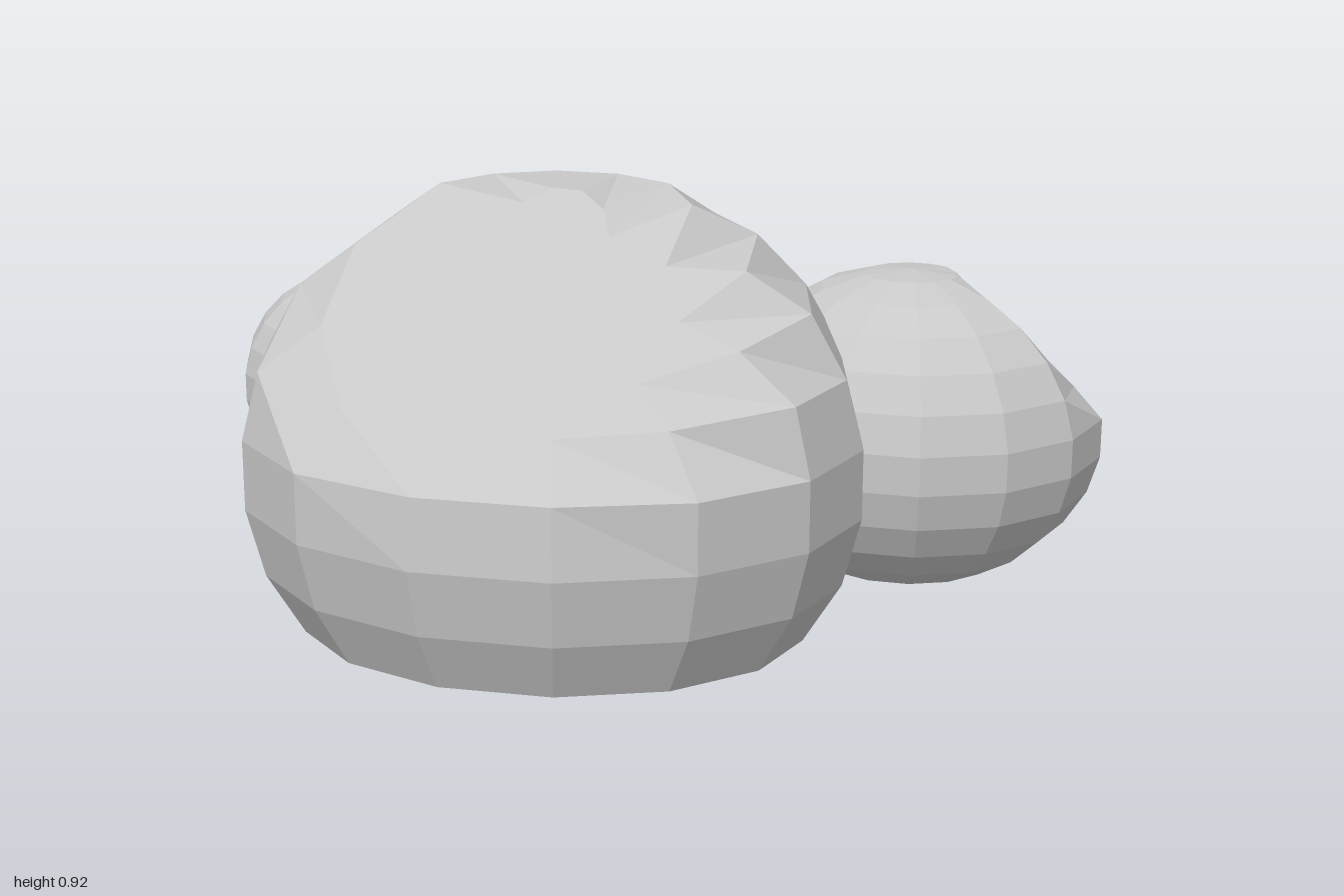
import * as THREE from 'three';

const stone = new THREE.MeshStandardMaterial({ color: 0xc8c8c8, flatShading: true });
stone.name = 'grey stone';

// A faceted ellipsoid with its own depth at front and back, turned a little.
// Vertices outside a cutting plane are drawn in toward the centre until they lie on it.
// Each cut is [nx, ny, nz, distance from the rock's centre].
function rock(name, centre, [width, height, front, back], turn, cuts) {
  const geometry = new THREE.SphereGeometry(1, 14, 13);
  geometry.rotateY(turn);
  const planes = cuts.map(([x, y, z, d]) => ({ normal: new THREE.Vector3(x, y, z).normalize(), d }));
  const pos = geometry.attributes.position;
  const v = new THREE.Vector3();
  for (let i = 0; i < pos.count; i++) {
    v.fromBufferAttribute(pos, i);
    v.set(v.x * width, v.y * height, v.z * (v.z > 0 ? front : back));
    for (const { normal, d } of planes) {
      const reach = v.dot(normal);
      if (reach > d) v.multiplyScalar(d / reach);
    }
    pos.setXYZ(i, v.x, v.y, v.z);
  }
  geometry.computeVertexNormals();
  const mesh = new THREE.Mesh(geometry, stone);
  mesh.name = name;
  mesh.position.set(...centre);
  return mesh;
}

export function createModel() {
  const group = new THREE.Group();
  group.name = 'rockCluster';
  group.add(
    // Big boulder: sloped front, flat base
    rock('largeRock', [-0.153, 0.357, 0.19], [0.67, 0.635, 0.505, 0.705], -0.09, [
      [-0.04, 0.788, 0.615, 0.35],
      [0, -1, 0, 0.357],
    ]),
    // Medium boulder: chipped on its upper and lower outer sides
    rock('mediumRock', [0.58, 0.36, -0.19], [0.43, 0.355, 0.375, 0.38], -0.12, [
      [0.66, 0.66, -0.35, 0.3],
      [0.5, -0.45, -0.74, 0.31],
    ]),
    // Small stone: broad chip underneath at the back, another on the inner side
    rock('smallRock', [-0.72, 0.335, -0.43], [0.285, 0.268, 0.265, 0.285], 0, [
      [0.8, 0.4, 0.42, 0.19],
      [0.05, -0.72, -0.68, 0.18],
    ]),
  );
  return group;
}
